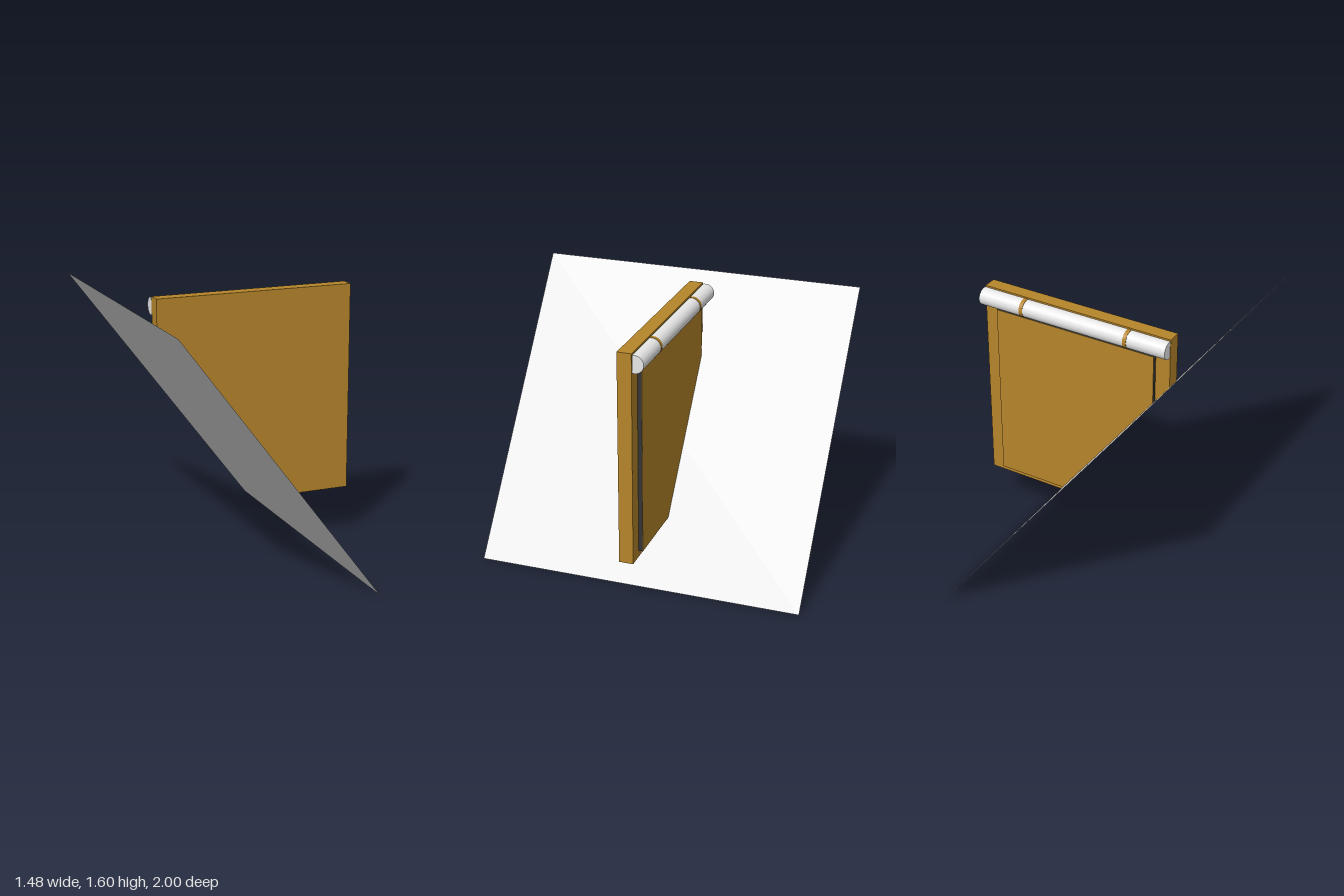
import * as THREE from 'three';
import { toCreasedNormals } from 'three/addons/utils/BufferGeometryUtils.js';

const paint = (name, color, extra = {}) => {
  const m = new THREE.MeshStandardMaterial({ color, ...extra });
  m.name = name;
  return m;
};

export function createModel() {
  const wood = paint('wood', 0xb6852a);
  const dark = paint('darkCore', 0x343434);
  const white = paint('whiteTube', 0xececec);
  const grey = paint('greySheet', 0xd8d8d8, { side: THREE.DoubleSide });

  const group = new THREE.Group();
  const add = (name, geometry, material) => {
    const mesh = new THREE.Mesh(geometry, material);
    mesh.name = name;
    group.add(mesh);
    return mesh;
  };

  // Upright slab from an outline in x, y, lying between two z depths
  const slab = (points, zBack, zFront) => {
    const shape = new THREE.Shape(points.map(([x, y]) => new THREE.Vector2(x, y)));
    return new THREE.ExtrudeGeometry(shape, { depth: zFront - zBack, bevelEnabled: false })
      .translate(0, 0, zBack);
  };

  // Main board with its sloping lower corner
  add('board', slab([[0.235, 0.31], [0.737, 0.31], [0.737, 1.6], [-0.504, 1.6], [-0.504, 1.288]], -0.085, 0), wood);

  // Raised panel on the back: dark core with a wooden skin
  const panel = [[0.205, 0.35], [0.645, 0.35], [0.645, 1.475], [-0.412, 1.475], [-0.412, 1.167]];
  add('panelCore', slab(panel, -0.109, -0.085), dark);
  add('panelSkin', slab(panel, -0.111, -0.109), wood);

  // D-shaped bar running along x, flat side towards the board
  const dBar = (x0, x1, grow) => {
    const r = 0.053 + grow, y = 1.54, flat = 0.09, round = 0.103;
    const s = new THREE.Shape();
    s.moveTo(flat, y - r);
    s.lineTo(round, y - r);
    s.absarc(round, y, r, -Math.PI / 2, Math.PI / 2, false);
    s.lineTo(flat, y + r);
    s.closePath();
    const g = new THREE.ExtrudeGeometry(s, { depth: x1 - x0, bevelEnabled: false, curveSegments: 24 });
    return toCreasedNormals(g.rotateY(Math.PI / 2).translate(x0, 0, 0), 0.6);
  };
  add('rollTube', dBar(-0.504, 0.737, 0), white);
  for (const x of [-0.245, 0.448]) add('tubeBand', dBar(x - 0.012, x + 0.012, 0.002), wood);

  // Large square sheet lying along the sloping cut
  const sheet = add('slopingSheet', new THREE.PlaneGeometry(2, 2).rotateX(-Math.PI / 2), grey);
  sheet.rotation.z = -Math.atan2(1.6, 1.205);
  sheet.position.set(-0.137, 0.8, 0);

  return group;
}
